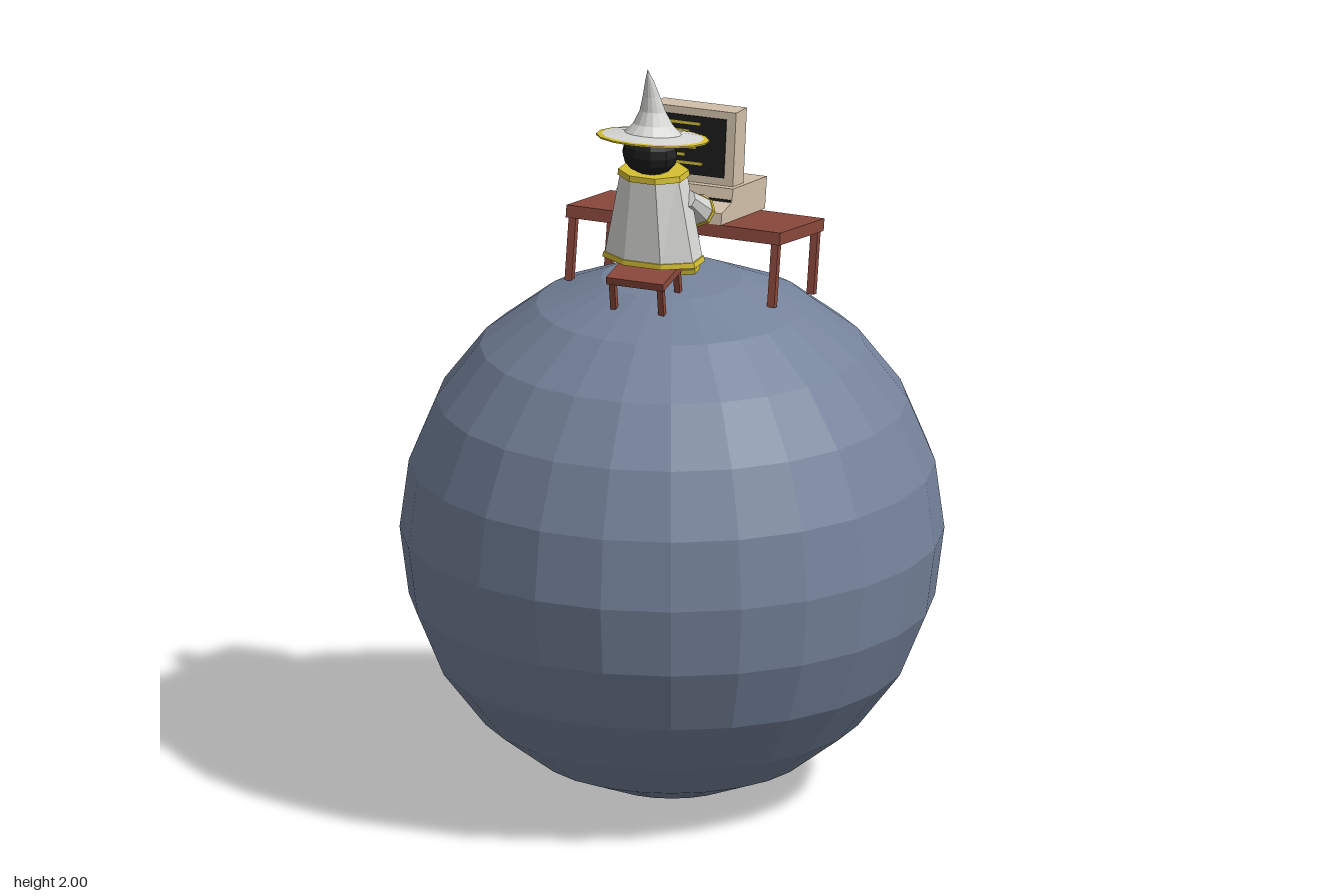
import * as THREE from 'three';

const mat = (name, color) => Object.assign(new THREE.MeshStandardMaterial({ color, flatShading: true }), { name });

export function createModel() {
  const stone = mat('slate blue', 0x75839b), wood = mat('red wood', 0x8a483b), white = mat('cloth white', 0xd8d8d6);
  const yellow = mat('trim yellow', 0xd6c034), beige = mat('computer beige', 0xd2c1aa), skin = mat('skin', 0xe2c8a8);
  const black = mat('black', 0x1c1c1c), lining = mat('hat lining', 0x4a5464);

  const root = new THREE.Group();
  const group = (name, parent, x = 0, y = 0, z = 0, rx = 0, ry = 0) => {
    const g = new THREE.Group();
    g.name = name;
    g.position.set(x, y, z);
    g.rotation.set(rx, ry, 0);
    parent.add(g);
    return g;
  };
  const add = (parent, name, geo, material, x = 0, y = 0, z = 0) => {
    const m = new THREE.Mesh(geo, material);
    m.name = name;
    m.position.set(x, y, z);
    parent.add(m);
    return m;
  };
  const box = (w, h, d) => new THREE.BoxGeometry(w, h, d);
  // move every vertex of a geometry by a rule
  const warp = (geo, rule) => {
    const p = geo.attributes.position, v = new THREE.Vector3();
    for (let i = 0; i < p.count; i++) {
      rule(v.fromBufferAttribute(p, i));
      p.setXYZ(i, v.x, v.y, v.z);
    }
    geo.computeVertexNormals();
    return geo;
  };
  // eight-sided oval frustum, sized by its half widths at top and bottom
  const oval = (topX, topZ, botX, botZ, h) => {
    const k = 1 / Math.cos(Math.PI / 8);
    return warp(new THREE.CylinderGeometry(k, k, h, 8).rotateY(Math.PI / 8), v => {
      v.x *= v.y > 0 ? topX : botX;
      v.z *= v.y > 0 ? topZ : botZ;
    });
  };
  // cylinder running from a to b
  const link = (parent, name, a, b, ra, rb, material) => {
    const dir = b.clone().sub(a);
    const m = add(parent, name, new THREE.CylinderGeometry(rb, ra, dir.length(), 8), material);
    m.position.copy(a).add(b).multiplyScalar(0.5);
    m.quaternion.setFromUnitVectors(new THREE.Vector3(0, 1, 0), dir.normalize());
  };

  // small planet
  add(root, 'planet', new THREE.SphereGeometry(0.705, 24, 12).rotateY(Math.PI / 24), stone, 0, 0.705, 0);

  // table and stool: a slab on four legs
  const furniture = (g, name, w, t, d, leg, h) => {
    add(g, name + 'Top', box(w, t, d), wood, 0, -t / 2, 0);
    for (const sx of [-1, 1]) for (const sz of [-1, 1])
      add(g, name + 'Leg', box(leg, h, leg), wood, sx * (w / 2 - leg * 0.8), -t - h / 2, sz * (d / 2 - leg * 0.8));
  };
  const table = group('table', root, 0, 1.516, -0.157, -0.17);
  furniture(table, 'table', 0.6, 0.033, 0.3, 0.02, 0.165);
  furniture(group('stool', root, 0, 1.462, 0.185, 0.15), 'stool', 0.16, 0.02, 0.135, 0.016, 0.075);

  // computer case with a stepped keyboard front
  const computer = group('computer', table, 0, 0, 0, 0, 0.04);
  const side = new THREE.Shape([[-0.155, 0], [0.175, 0], [0.175, 0.085], [-0.08, 0.085], [-0.085, 0.05], [-0.155, 0.03]]
    .map(p => new THREE.Vector2(...p)));
  const caseGeo = new THREE.ExtrudeGeometry(side, { depth: 0.255, bevelEnabled: false });
  add(computer, 'computerCase', caseGeo.translate(0, 0, -0.1275).rotateY(Math.PI / 2), beige);
  add(computer, 'keyboardGap', box(0.25, 0.006, 0.004), black, 0, 0.053, 0.086);

  // monitor leaning back, with a tapered tube housing
  const monitor = group('monitor', root, 0, 1.695, -0.175, -0.115, 0.04);
  add(monitor, 'monitorFrame', box(0.23, 0.205, 0.08), beige);
  const housing = warp(box(0.17, 0.14, 0.12), v => {
    if (v.z < 0) { v.x *= 0.78; v.y = v.y * 0.88 - 0.014; }
  });
  add(monitor, 'monitorHousing', housing, beige, 0, 0.002, -0.095);
  add(monitor, 'screen', box(0.18, 0.155, 0.006), black, 0, 0.005, 0.041);
  [0.09, 0.06, 0.11, 0.08, 0.05, 0.1].forEach((w, i) =>
    add(monitor, 'screenLine', box(w, 0.007, 0.003), yellow, -0.07 + w / 2, 0.063 - i * 0.021, 0.045));

  // seated figure, facing the computer
  const figure = group('wizard', root);
  add(figure, 'robe', oval(0.08, 0.07, 0.125, 0.077, 0.24), white, 0, 1.597, 0.123);
  add(figure, 'robeCollar', oval(0.086, 0.076, 0.088, 0.077, 0.016), yellow, 0, 1.71, 0.123);
  add(figure, 'robeHem', oval(0.127, 0.08, 0.13, 0.081, 0.014), yellow, 0, 1.481, 0.123);
  const skirt = group('skirt', figure, 0, 1.485, 0.075, 0.2);
  add(skirt, 'skirtCloth', oval(0.105, 0.04, 0.095, 0.036, 0.09), white);
  add(skirt, 'skirtHem', oval(0.099, 0.04, 0.099, 0.04, 0.014), yellow, 0, -0.045, 0);

  // arms reaching for the keyboard
  for (const s of [-1, 1]) {
    const shoulder = new THREE.Vector3(s * 0.085, 1.645, 0.11), wrist = new THREE.Vector3(s * 0.08, 1.58, 0.008);
    const cuff = shoulder.clone().lerp(wrist, 0.92), end = shoulder.clone().lerp(wrist, 1.03);
    link(figure, 'sleeve', shoulder, wrist, 0.026, 0.04, white);
    link(figure, 'sleeveCuff', cuff, end, 0.041, 0.043, yellow);
    add(figure, 'hand', new THREE.SphereGeometry(0.026, 8, 6), skin, s * 0.073, 1.588, -0.022);
  }

  // head
  add(figure, 'face', new THREE.SphereGeometry(0.062, 10, 8), skin, 0, 1.763, 0.13);
  const hair = add(figure, 'hair', new THREE.SphereGeometry(1, 10, 8), black, 0, 1.768, 0.148);
  hair.scale.set(0.077, 0.056, 0.055);
  for (const s of [-1, 1]) add(figure, 'eye', box(0.012, 0.018, 0.006), black, s * 0.022, 1.768, 0.074);

  // pointed hat: tilted brim, yellow edge, bent concave cone
  const hat = group('hat', figure, 0, 1.807, 0.128, -0.16);
  const lathe = pts => new THREE.LatheGeometry(pts.map(p => new THREE.Vector2(...p)), 16);
  add(hat, 'brimTop', lathe([[0.133, 0.003], [0.07, 0.012], [0, 0.014]]), white);
  add(hat, 'brimEdge', lathe([[0.147, -0.003], [0.147, 0.001], [0.133, 0.003]]), yellow);
  add(hat, 'brimLining', lathe([[0, 0], [0.147, -0.003]]), lining);
  const cone = lathe([[0.076, 0.01], [0.052, 0.035], [0.034, 0.07], [0.023, 0.11], [0.011, 0.155], [0, 0.187]]);
  add(hat, 'hatCone', warp(cone, v => { v.z += 0.066 * (v.y / 0.187) ** 1.7; }), white);

  return root;
}
